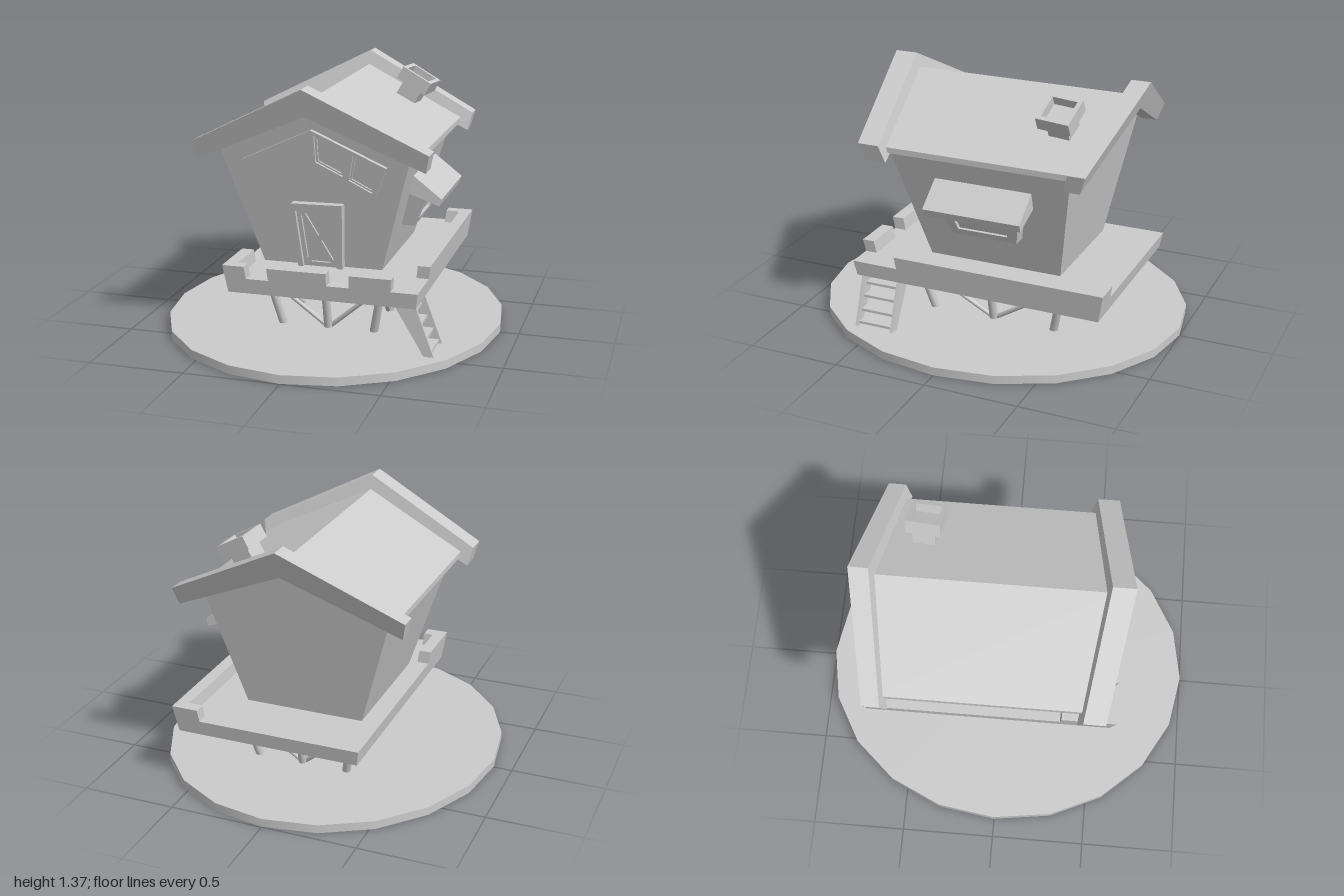
import * as THREE from 'three';

const material = new THREE.MeshStandardMaterial({ color: 0xcccccc, flatShading: true });
const roundMaterial = new THREE.MeshStandardMaterial({ color: 0xcccccc });

function add(parent, name, geometry, mat = material) {
  const mesh = new THREE.Mesh(geometry, mat);
  mesh.name = name;
  parent.add(mesh);
  return mesh;
}

// Apply a rule (x, y, z) -> [x, y, z] to every vertex
function warp(geometry, rule) {
  const g = geometry.index ? geometry.toNonIndexed() : geometry;
  const p = g.attributes.position;
  for (let i = 0; i < p.count; i++) p.setXYZ(i, ...rule(p.getX(i), p.getY(i), p.getZ(i)));
  g.computeVertexNormals();
  return g;
}

// Outline in x/y, extruded between two leaning end planes z = back(y) and z = front(y)
function prism(points, back, front, holes = []) {
  const toV = (list) => list.map(([x, y]) => new THREE.Vector2(x, y));
  const shape = new THREE.Shape(toV(points));
  shape.holes = holes.map((h) => new THREE.Path(toV(h)));
  const g = new THREE.ExtrudeGeometry(shape, { depth: 1, bevelEnabled: false });
  return warp(g, (x, y, z) => [x, y, z < 0.5 ? back(y) : front(y)]);
}

// Round bar between two points
function rod(parent, name, a, b, radius) {
  const from = new THREE.Vector3(...a), to = new THREE.Vector3(...b);
  const dir = to.clone().sub(from);
  const g = new THREE.CylinderGeometry(radius, radius, dir.length(), 14);
  const m = add(parent, name, g, roundMaterial);
  m.position.copy(from).add(to).multiplyScalar(0.5);
  m.quaternion.setFromUnitVectors(new THREE.Vector3(0, 1, 0), dir.normalize());
}

const lean = (z, slope, y0) => (y) => z + slope * (y - y0);
const at = (z) => () => z;
const mirrorX = (pts) => pts.map(([x, y]) => [-x, y]);
const wallFront = (proud) => lean(0.3 + proud, 0.23, 0.45);

function buildDeck() {
  const deck = new THREE.Group();
  deck.name = 'deck';
  const cx = 0.085, cz = -0.073, top = 0.447;
  // Box given by its extents at rail height; everything narrows downwards
  const piece = (name, x0, x1, z0, z1, y0, y1) => {
    const g = new THREE.BoxGeometry(x1 - x0, y1 - y0, z1 - z0);
    g.translate((x0 + x1) / 2, (y0 + y1) / 2, (z0 + z1) / 2);
    add(deck, name, warp(g, (x, y, z) => {
      const s = 1 - 0.27 * (top - y);
      return [cx + (x - cx) * s, y, cz + (z - cz) * s];
    }));
  };
  const L = -0.425, R = 0.595, B = -0.775, F = 0.628, t = 0.065, floorY = 0.38;
  piece('deckFloor', L, R, B, F, 0.298, floorY);
  for (const [a, b] of [[L, -0.31], [-0.19, 0.12], [0.24, 0.455]])
    piece('frontRail', a, b, F - t, F, floorY, top);
  piece('leftRail', R - t, R, B, 0.37, floorY, top);
  piece('backCornerRail', 0.455, R - t, B, B + t, floorY, top);
  piece('rightCornerRail', L, L + t, 0.33, F - t, floorY, top);
  return deck;
}

function buildLegs() {
  const legs = new THREE.Group();
  legs.name = 'legs';
  const foot = (i, k) => [0.035 + i * 0.24, 0.005, -0.055 + k * 0.335];
  const head = (i, k) => [0.035 + i * 0.305, 0.31, -0.055 + k * 0.41];
  for (let i = -1; i <= 1; i++) for (let k = -1; k <= 1; k++) {
    if (!i && !k) continue;
    rod(legs, 'post', foot(i, k), head(i, k), 0.022);
    // Middle posts carry a pair of diagonal braces
    if (i && k) continue;
    const start = foot(i, k);
    start[1] = 0.04;
    for (const s of [-1, 1]) rod(legs, 'brace', start, head(i || s, k || s), 0.012);
  }
  return legs;
}

function buildLadder() {
  const ladder = new THREE.Group();
  ladder.name = 'ladder';
  const side = [[0.455, 0.305], [0.565, 0.305], [0.664, 0.04], [0.66, 0.01], [0.61, 0.01], [0.612, 0.045]];
  for (const z of [0.355, 0.559]) add(ladder, 'stile', prism(side, at(z), at(z + 0.016)));
  for (const y of [0.25, 0.187, 0.12, 0.06]) {
    const rung = add(ladder, 'rung', new THREE.BoxGeometry(0.05, 0.014, 0.2));
    rung.position.set(0.628 - (y - 0.045) * 0.48, y, 0.465);
  }
  return ladder;
}

function buildDoor() {
  const door = new THREE.Group();
  door.name = 'door';
  const frame = [[-0.115, 0.38], [-0.15, 0.705], [-0.127, 0.737], [0.143, 0.742], [0.123, 0.38],
    [0.093, 0.38], [0.11, 0.698], [-0.108, 0.698], [-0.088, 0.38]];
  add(door, 'doorFrame', prism(frame, wallFront(-0.01), wallFront(0.048)));
  const leaf = [[-0.09, 0.38], [0.095, 0.38], [0.112, 0.7], [-0.112, 0.7]];
  const hole = [[-0.066, 0.405], [0.07, 0.405], [0.088, 0.68], [-0.086, 0.68]];
  add(door, 'doorPanel', prism(leaf, wallFront(-0.01), wallFront(0.008)));
  add(door, 'doorRim', prism(leaf, wallFront(0), wallFront(0.025), [hole]));
  // Crossed boards
  const w = 0.013;
  const cross = [[-0.08 - w, 0.685], [-0.08 + w, 0.685], [0.066 + w, 0.4], [0.066 - w, 0.4]];
  for (const pts of [cross, mirrorX(cross)])
    add(door, 'doorCross', prism(pts, wallFront(0), wallFront(0.022)));
  return door;
}

function buildSideWindow() {
  const win = new THREE.Group();
  win.name = 'sideWindow';
  // Drawn with x standing for -z, then turned to face +x
  const wall = (proud) => lean(0.32 + proud, 0.29, 0.38);
  const face = (proud) => lean(0.45 + proud, 0.41, 0.578);
  const outer = [[-0.10, 0.578], [0.258, 0.578], [0.295, 0.76], [-0.14, 0.76]];
  const hole = [[-0.06, 0.612], [0.21, 0.612], [0.24, 0.75], [-0.09, 0.75]];
  add(win, 'windowFrame', prism(outer, wall(-0.01), face(0), [hole]).rotateY(Math.PI / 2));
  add(win, 'windowPane', prism(hole, wall(-0.01), face(-0.02)).rotateY(Math.PI / 2));
  const awning = [[0.43, 0.777], [0.597, 0.715], [0.609, 0.753], [0.46, 0.868], [0.42, 0.868]];
  add(win, 'awning', prism(awning, at(-0.34), at(0.19)));
  return win;
}

function buildHouse() {
  const house = new THREE.Group();
  house.name = 'house';
  const body = [[-0.312, 0.37], [0.32, 0.37], [0.502, 1.02], [0, 1.26], [-0.502, 1.02]];
  add(house, 'walls', prism(body, lean(-0.46, -0.18, 0.45), wallFront(0)));

  // Roof slab and the thick leaning gable boards
  const roof = [[-0.547, 1.0], [-0.547, 1.03], [0, 1.292], [0.547, 1.03], [0.547, 1.0], [0, 1.25]];
  add(house, 'roof', prism(roof, lean(-0.6, -0.29, 0.965), lean(0.45, 0.29, 0.965)));
  const board = [[-0.593, 0.963], [-0.615, 1.057], [0, 1.367], [0.615, 1.057], [0.593, 0.963], [0, 1.225]];
  add(house, 'frontGableBoard', prism(board, lean(0.4, 0.29, 0.965), lean(0.512, 0.31, 0.965)));
  add(house, 'backGableBoard', prism(board, lean(-0.645, -0.355, 0.965), lean(-0.558, -0.315, 0.965)));

  // Row of four gable panes in one chevron frame
  const chevron = [[-0.312, 0.79], [-0.38, 0.957], [0, 1.138], [0.38, 0.957], [0.312, 0.79], [0, 0.945]];
  const outerPane = [[-0.35, 0.942], [-0.212, 1.015], [-0.183, 0.88], [-0.298, 0.818]];
  const innerPane = [[-0.185, 1.03], [-0.015, 1.11], [-0.015, 0.968], [-0.152, 0.898]];
  const panes = [outerPane, innerPane, mirrorX(outerPane), mirrorX(innerPane)];
  add(house, 'gableWindow', prism(chevron, wallFront(-0.01), wallFront(0.028), panes));
  // Narrow inner rim around each pane
  for (const pane of panes) {
    const [mx, my] = [0, 1].map((k) => pane.reduce((sum, p) => sum + p[k] / 4, 0));
    const inset = pane.map(([x, y]) => [mx + (x - mx) * 0.86, my + (y - my) * 0.86]);
    add(house, 'paneRim', prism(pane, wallFront(-0.01), wallFront(0.012), [inset]));
  }

  house.add(buildDoor(), buildSideWindow());
  return house;
}

// Hollow square cap on a short stem, square to the roof slope
function buildChimney() {
  const chimney = new THREE.Group();
  chimney.name = 'chimney';
  const square = (r) => [[-r, -r], [r, -r], [r, r], [-r, r]];
  add(chimney, 'stem', new THREE.BoxGeometry(0.115, 0.13, 0.115)).position.y = 0.02;
  const cap = prism(square(0.09), at(0.08), at(0.153), [square(0.068)]);
  add(chimney, 'cap', cap.rotateX(-Math.PI / 2));
  add(chimney, 'capFloor', new THREE.BoxGeometry(0.14, 0.02, 0.14)).position.y = 0.092;
  chimney.position.set(0.283, 1.155, -0.44);
  chimney.rotation.set(0, -0.1, -0.5, 'ZYX');
  return chimney;
}

export function createModel() {
  const model = new THREE.Group();
  model.name = 'stiltHut';
  const base = add(model, 'base', new THREE.CylinderGeometry(1, 1, 0.045, 20), roundMaterial);
  base.scale.x = 0.9;
  base.position.y = 0.0225;
  model.add(buildLegs(), buildDeck(), buildLadder(), buildHouse(), buildChimney());
  return model;
}
